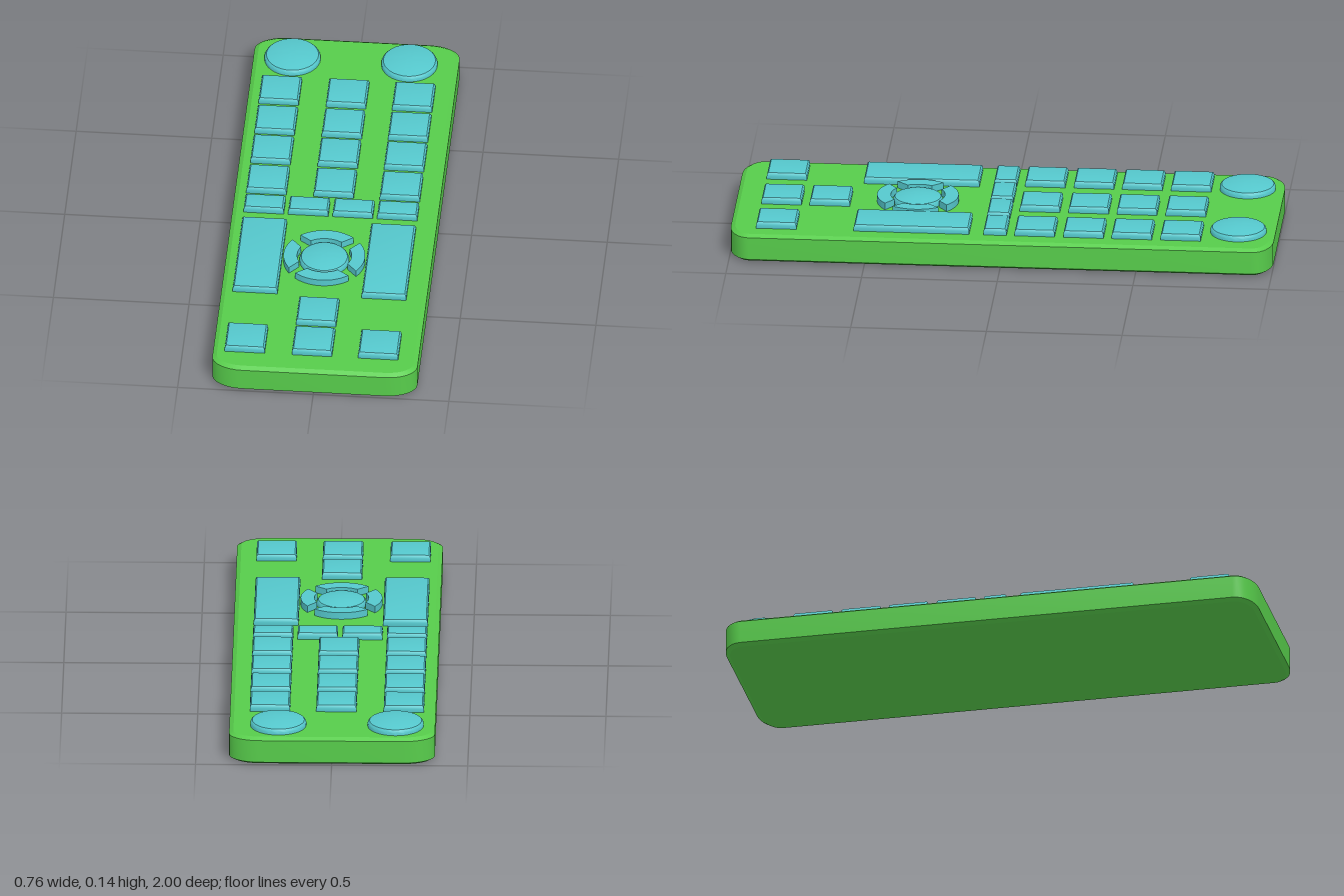
import * as THREE from 'three';
import { toCreasedNormals } from 'three/addons/utils/BufferGeometryUtils.js';

const BODY_TOP = 0.105, KEY_TOP = 0.131, KEY_BASE = 0.09;
const bodyMat = new THREE.MeshStandardMaterial({ color: 0x57cc4b });
const keyMat = new THREE.MeshStandardMaterial({ color: 0x55c8cd });

// Upright slab from a plan outline (shape y = -z), bevelled inside the outline
function slab(shape, y0, y1, inset, rise, segments) {
  const g = new THREE.ExtrudeGeometry(shape, {
    depth: y1 - y0 - 2 * rise, bevelEnabled: inset > 0, bevelSize: inset,
    bevelOffset: -inset, bevelThickness: rise, bevelSegments: segments, curveSegments: 10,
  });
  g.rotateX(-Math.PI / 2).translate(0, y0 + rise, 0);
  return toCreasedNormals(g, 0.5);
}

// Rectangle with elliptical corners
function roundedPlan(hw, hl, rx, rz) {
  const s = new THREE.Shape();
  const corners = [[1, 1], [-1, 1], [-1, -1], [1, -1]];
  corners.forEach(([sx, sy], i) => {
    for (let k = 0; k <= 8; k++) {
      const a = (i + k / 8) * Math.PI / 2;
      const x = sx * (hw - rx) + rx * Math.cos(a), y = sy * (hl - rz) + rz * Math.sin(a);
      if (i + k === 0) s.moveTo(x, y); else s.lineTo(x, y);
    }
  });
  s.closePath();
  return s;
}

export function createModel() {
  const remote = new THREE.Group();
  remote.name = 'remoteControl';

  function add(name, geometry, material, x = 0, z = 0) {
    const m = new THREE.Mesh(geometry, material);
    m.name = name;
    m.position.set(x, 0, z);
    remote.add(m);
    return m;
  }

  // Body
  add('body', slab(roundedPlan(0.378, 1, 0.115, 0.075), 0, BODY_TOP, 0.016, 0.01, 1), bodyMat);

  // Rectangular keys
  function key(name, x, z, w, l) {
    const s = new THREE.Shape([
      new THREE.Vector2(-w / 2, -l / 2), new THREE.Vector2(w / 2, -l / 2),
      new THREE.Vector2(w / 2, l / 2), new THREE.Vector2(-w / 2, l / 2),
    ]);
    add(name, slab(s, KEY_BASE, KEY_TOP, 0.012, 0.014, 3), keyMat, x, z);
  }
  const columns = [-0.261, -0.013, 0.231];
  for (const z of [-0.66, -0.48, -0.302, -0.122]) for (const x of columns) key('numberKey', x, z, 0.148, 0.148);
  for (const x of [-0.261, -0.097, 0.067, 0.231]) key('narrowKey', x, 0.024, 0.148, 0.085);
  for (const x of [-0.253, 0.222]) key('rockerKey', x, 0.332, 0.165, 0.426);
  key('menuKey', -0.013, 0.652, 0.148, 0.148);
  for (const x of columns) key('bottomKey', x, 0.83, 0.148, 0.148);

  // Domed round buttons
  function dome(name, x, z, r) {
    const profile = [[r, KEY_BASE], [r, 0.115], [r * 0.98, 0.12], [r * 0.93, 0.1255]];
    for (let i = 1; i <= 6; i++) {
      const t = 0.93 * (1 - i / 6);
      profile.push([r * t, 0.1365 - 0.011 * (t / 0.93) ** 2]);
    }
    const pts = profile.map(([px, py]) => new THREE.Vector2(px, py));
    add(name, toCreasedNormals(new THREE.LatheGeometry(pts, 40), 0.6), keyMat, x, z);
  }
  for (const x of [-0.233, 0.198]) dome('powerButton', x, -0.865, 0.103);
  dome('selectButton', -0.015, 0.333, 0.091);

  // Ring of four direction keys around the select button
  for (let i = 0; i < 4; i++) {
    const mid = i * Math.PI / 2;
    const outer = i % 2 ? 0.71 : 0.6, inner = i % 2 ? 0.6 : 0.46;
    const s = new THREE.Shape();
    s.absarc(0, 0, 0.15, mid - outer, mid + outer, false);
    s.absarc(0, 0, 0.1, mid + inner, mid - inner, true);
    s.closePath();
    add('directionKey', slab(s, KEY_BASE, KEY_TOP, 0, 0, 1), keyMat, -0.015, 0.333);
  }

  return remote;
}
